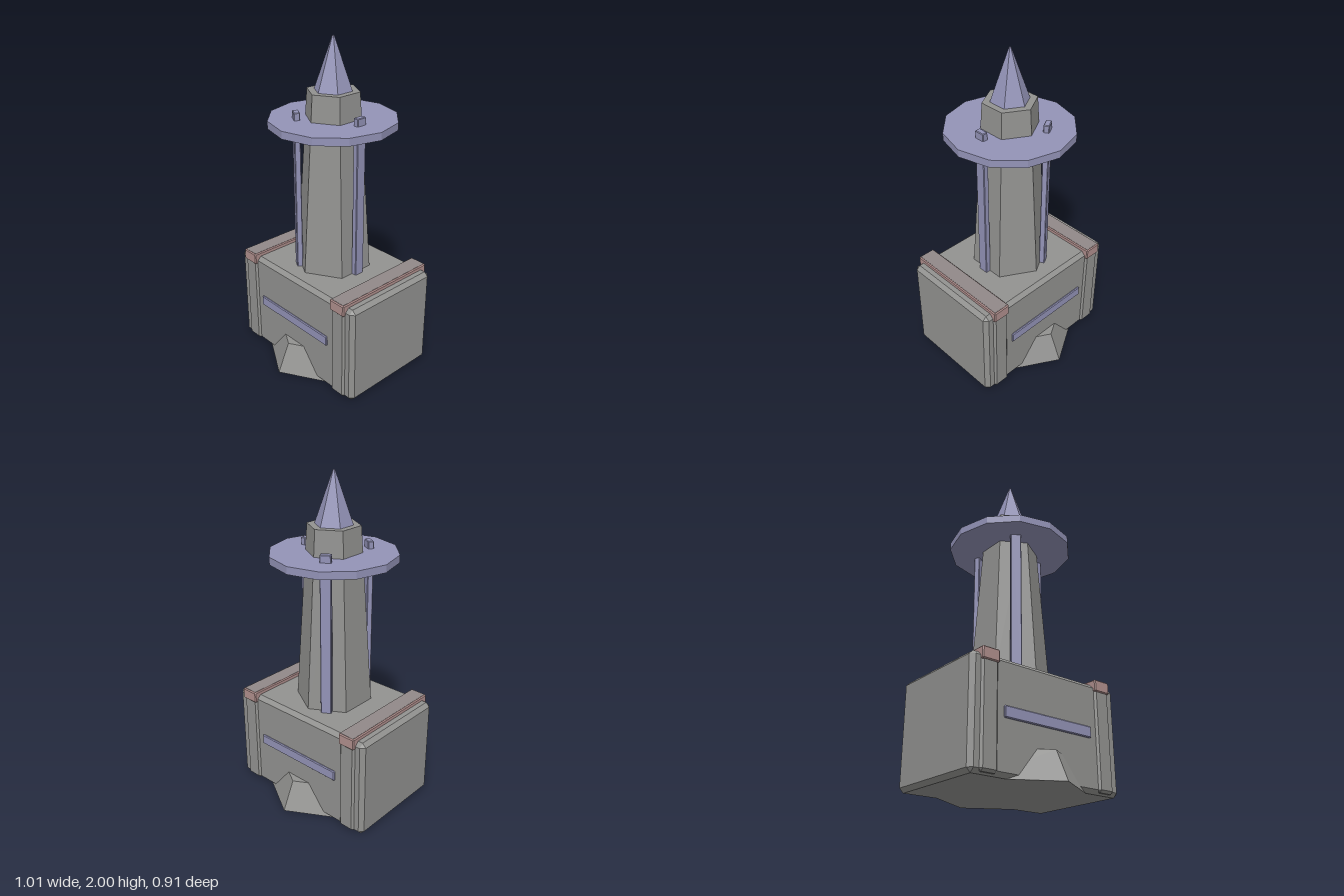
import * as THREE from 'three';
import { ConvexGeometry } from 'three/addons/geometries/ConvexGeometry.js';

const mat = (name, color) => {
  const m = new THREE.MeshStandardMaterial({ color, flatShading: true });
  m.name = name;
  return m;
};

// Box with flat chamfers on every edge
function chamferBox(w, h, d, c) {
  const pts = [];
  for (const x of [-1, 1]) for (const y of [-1, 1]) for (const z of [-1, 1]) {
    for (let face = 0; face < 3; face++) {
      pts.push(new THREE.Vector3(
        x * (w / 2 - (face === 0 ? 0 : c)),
        y * (h / 2 - (face === 1 ? 0 : c)),
        z * (d / 2 - (face === 2 ? 0 : c))));
    }
  }
  return new ConvexGeometry(pts);
}

export function createModel() {
  const stone = mat('stone grey', 0x929290);
  const metal = mat('dusty violet', 0x9393b7);
  const trim = mat('faded red', 0xb08f8d);
  const trimTop = mat('worn trim grey', 0x918989);

  const model = new THREE.Group();
  model.name = 'tower';
  const add = (name, geometry, material, x, y, z, parent = model) => {
    const mesh = new THREE.Mesh(geometry, material);
    mesh.name = name;
    mesh.position.set(x, y, z);
    parent.add(mesh);
    return mesh;
  };

  // Base block and the six-sided foot that pokes out front and back
  add('base', chamferBox(1.01, 0.62, 0.652, 0.024), stone, 0, 0.31, 0);
  add('foot', new THREE.CylinderGeometry(0.375, 0.457, 0.175, 6), stone, 0, 0.0875, 0);

  // Ribs with coloured caps across both ends of the base
  for (const side of [-1, 1]) {
    const name = side > 0 ? 'left' : 'right';
    add(name + 'Rib', chamferBox(0.11, 0.6, 0.676, 0.014), stone, side * 0.395, 0.31, 0);
    add(name + 'Cap', chamferBox(0.11, 0.07, 0.69, 0.006), trim, side * 0.395, 0.61, 0);
    add(name + 'CapTop', new THREE.BoxGeometry(0.094, 0.004, 0.674), trimTop, side * 0.395, 0.644, 0);
  }

  // Long plates on the front and back of the base
  for (const side of [-1, 1]) {
    add(side > 0 ? 'frontPlate' : 'backPlate', chamferBox(0.6, 0.064, 0.02, 0.005), metal, 0, 0.329, side * 0.326);
  }

  // Tapered shaft, ring platform and spire
  add('shaft', new THREE.CylinderGeometry(0.156, 0.231, 1.08, 6), stone, 0, 1.16, 0);
  add('platform', new THREE.CylinderGeometry(0.375, 0.375, 0.045, 12), metal, 0, 1.523, 0);
  add('spire', new THREE.CylinderGeometry(0.006, 0.112, 0.3, 6), metal, 0, 1.85, 0);

  // Three struts around the shaft
  for (let i = 0; i < 3; i++) {
    const arm = new THREE.Group();
    arm.name = 'strut' + (i + 1);
    arm.rotation.y = i * Math.PI * 2 / 3;
    add('strutBar', chamferBox(0.035, 0.98, 0.064, 0.004), metal, 0.212, 1.1, 0, arm);
    model.add(arm);
  }
  return model;
}
